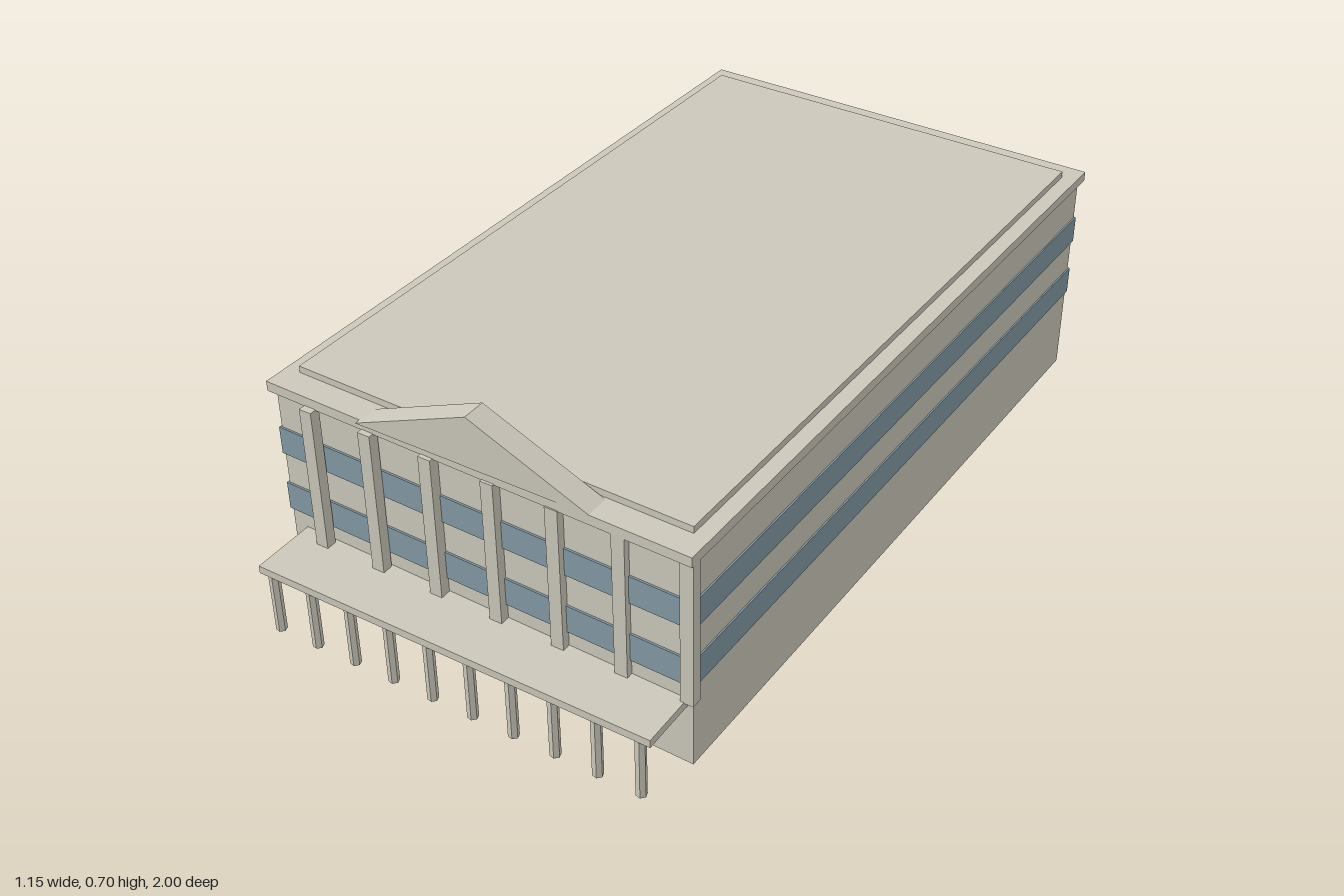
import * as THREE from 'three';

export function createModel() {
  const model = new THREE.Group();
  model.name = 'officeBuilding';

  const stone = new THREE.MeshStandardMaterial({ color: 0xcbc7ba });
  stone.name = 'stone';
  const glass = new THREE.MeshStandardMaterial({ color: 0x8398a3 });
  glass.name = 'blueGlass';

  // Box given by its width and depth, its bottom and top heights and its centre
  function slab(name, parent, material, w, d, y0, y1, x, z) {
    const mesh = new THREE.Mesh(new THREE.BoxGeometry(w, y1 - y0, d), material);
    mesh.name = name;
    mesh.position.set(x, (y0 + y1) / 2, z);
    parent.add(mesh);
    return mesh;
  }

  // Main block, turned slightly against the entrance front
  const block = new THREE.Group();
  block.name = 'mainBlock';
  block.position.z = -0.0615;
  block.rotation.y = -0.0225;
  model.add(block);
  slab('walls', block, stone, 1.089, 1.815, 0, 0.552, 0, 0);
  slab('lowerWindowBand', block, glass, 1.097, 1.825, 0.22, 0.292, 0, 0);
  slab('upperWindowBand', block, glass, 1.097, 1.825, 0.375, 0.446, 0, 0);
  slab('cornice', block, stone, 1.108, 1.852, 0.55, 0.575, 0, 0);
  slab('roof', block, stone, 1.031, 1.727, 0.574, 0.592, 0, -0.003);

  // Seven square columns along the upper front
  const columns = new THREE.Group();
  columns.name = 'frontColumns';
  model.add(columns);
  for (let i = 0; i < 7; i++) {
    slab('frontColumn', columns, stone, 0.032, 0.027, 0.178, 0.552, -0.451 + i * 0.1613, 0.8585);
  }

  // Triangular gable above the cornice
  const triangle = new THREE.Shape([
    new THREE.Vector2(-0.31, 0.574),
    new THREE.Vector2(0.29, 0.574),
    new THREE.Vector2(-0.01, 0.702),
  ]);
  const pediment = new THREE.Mesh(
    new THREE.ExtrudeGeometry(triangle, { depth: 0.06, bevelEnabled: false }),
    stone
  );
  pediment.name = 'pediment';
  pediment.position.z = 0.811;
  model.add(pediment);

  // Entrance canopy on ten slim posts
  const porch = new THREE.Group();
  porch.name = 'porch';
  model.add(porch);
  slab('canopy', porch, stone, 1.036, 0.165, 0.16, 0.18, -0.008, 0.9175);
  const postGeometry = new THREE.CylinderGeometry(0.013, 0.013, 0.161, 6).toNonIndexed();
  postGeometry.computeVertexNormals();
  for (let i = 0; i < 10; i++) {
    const post = new THREE.Mesh(postGeometry, stone);
    post.name = 'canopyPost';
    post.position.set(-0.497 + i * 0.1083, 0.0805, 0.986);
    post.rotation.y = 0.3;
    porch.add(post);
  }

  return model;
}
